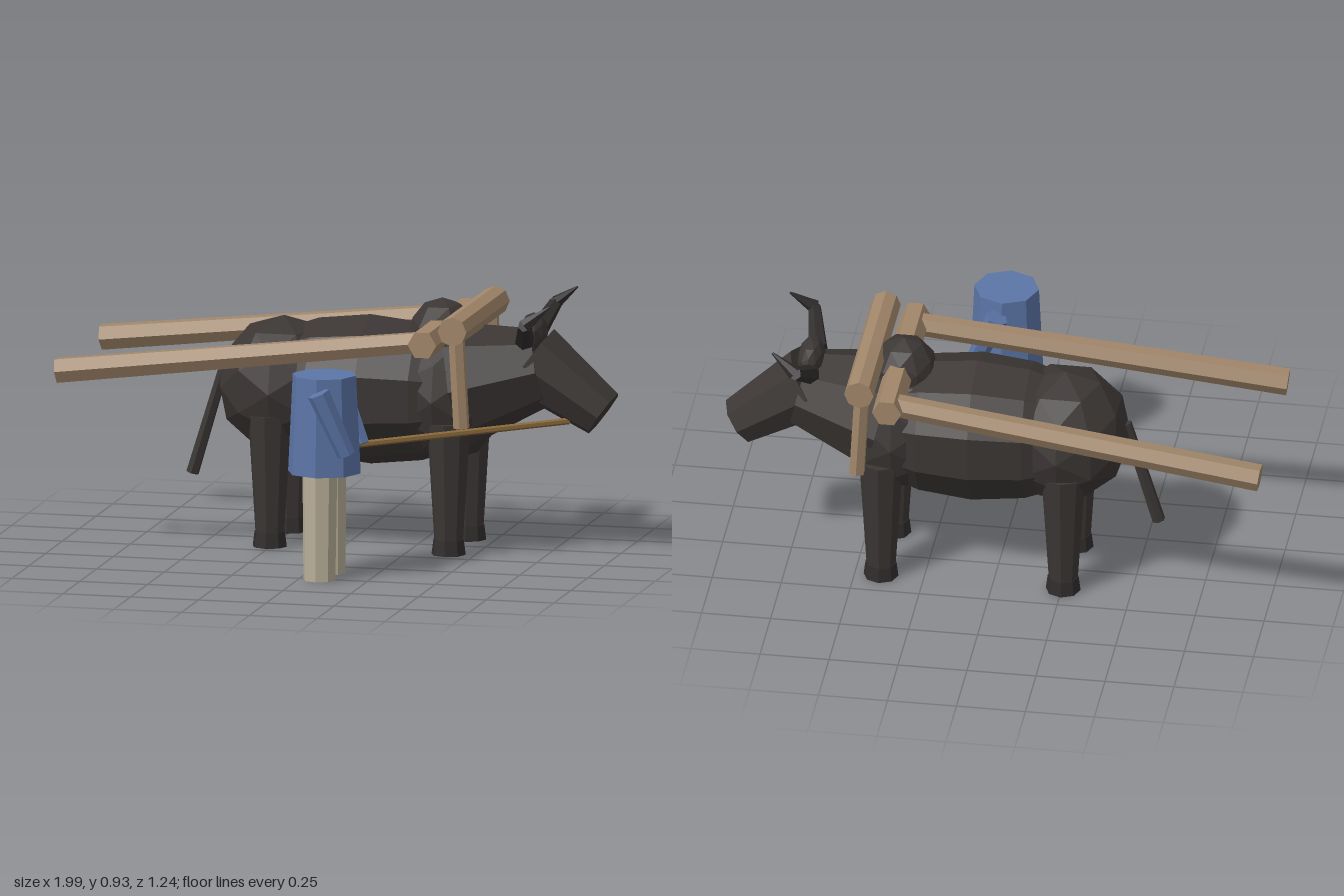
import * as THREE from 'three';

const mat = (name, color) => {
  const m = new THREE.MeshStandardMaterial({ color, flatShading: true });
  m.name = name;
  return m;
};

export function createModel() {
  const hide = mat('dark hide', 0x3b3634);
  const horn = mat('horn and hoof', 0x302c2c);
  const wood = mat('wood', 0xa1866a);
  const rope = mat('rope', 0x8a6a3c);
  const shirt = mat('blue shirt', 0x5b75a6);
  const cloth = mat('beige trousers', 0xb8ae98);

  const model = new THREE.Group();
  const UP = new THREE.Vector3(0, 1, 0);
  const MID = -0.235; // z of the animal's centre line

  const group = (name) => {
    const g = new THREE.Group();
    g.name = name;
    model.add(g);
    return g;
  };

  // Tapered rod from point a (radius ra) to point b (radius rb)
  const rod = (parent, name, m, a, b, ra, rb, sides = 6, spin = 0) => {
    const start = new THREE.Vector3(...a), end = new THREE.Vector3(...b);
    const dir = end.clone().sub(start);
    const geo = new THREE.CylinderGeometry(rb, ra, dir.length(), sides, 1, false, spin);
    const mesh = new THREE.Mesh(geo, m);
    mesh.position.copy(start).add(end).multiplyScalar(0.5);
    mesh.quaternion.setFromUnitVectors(UP, dir.normalize());
    mesh.name = name;
    parent.add(mesh);
    return mesh;
  };

  const blob = (parent, name, geo, pos, scale) => {
    const mesh = new THREE.Mesh(geo, hide);
    mesh.position.set(...pos);
    mesh.scale.set(...scale);
    mesh.name = name;
    parent.add(mesh);
  };

  // Ox body
  const ox = group('ox');
  const barrel = new THREE.SphereGeometry(1, 10, 8).rotateZ(Math.PI / 2);
  const lump = new THREE.IcosahedronGeometry(1, 1);
  blob(ox, 'barrel', barrel, [0.08, 0.56, MID], [0.5, 0.272, 0.255]);
  blob(ox, 'rump', lump, [-0.24, 0.565, MID], [0.24, 0.25, 0.245]);
  blob(ox, 'chest', lump, [0.36, 0.56, MID], [0.22, 0.25, 0.235]);
  blob(ox, 'hump', lump, [0.345, 0.765, MID], [0.125, 0.14, 0.125]);
  rod(ox, 'neck', hide, [0.42, 0.6, MID], [0.72, 0.67, MID], 0.225, 0.14, 8);
  rod(ox, 'head', hide, [0.676, 0.694, MID], [0.938, 0.508, MID], 0.14, 0.092, 8);
  blob(ox, 'poll', lump, [0.68, 0.79, MID], [0.05, 0.075, 0.095]);
  rod(ox, 'tail', hide, [-0.46, 0.62, MID], [-0.578, 0.226, MID], 0.02, 0.024, 6);

  // Legs, hooves and horns on both sides
  for (const s of [-1, 1]) {
    for (const [x, end] of [[0.405, 'front'], [-0.255, 'rear']]) {
      const z = MID + s * 0.153;
      rod(ox, end + 'Leg', hide, [x, 0.05, z], [x, 0.48, z], 0.053, 0.08, 8);
      rod(ox, end + 'Hoof', horn, [x, 0, z], [x, 0.055, z], 0.063, 0.056, 8);
    }
    const bend = [0.705, 0.86, MID + s * 0.235];
    rod(ox, 'hornBase', horn, [0.67, 0.775, MID + s * 0.09], bend, 0.036, 0.024, 6);
    rod(ox, 'hornTip', horn, bend, [0.79, 0.925, MID + s * 0.212], 0.026, 0.004, 6);
  }

  // Yoke, crossbar and cart shafts
  const harness = group('harness');
  rod(harness, 'crossbar', wood, [0.355, 0.793, -0.585], [0.355, 0.793, 0.115], 0.053, 0.053, 6, Math.PI / 2);
  rod(harness, 'yokeBeam', wood, [0.46, 0.842, -0.555], [0.46, 0.842, 0.09], 0.053, 0.053, 8);
  for (const s of [-1, 1]) {
    rod(harness, 'yokeStave', wood, [0.457, 0.84, MID + s * 0.253], [0.477, 0.48, MID + s * 0.253], 0.03, 0.03, 6);
    rod(harness, 'shaft', wood, [-0.995, 0.64, MID + s * 0.337], [0.36, 0.795, MID + s * 0.283], 0.049, 0.041, 6);
  }
  rod(harness, 'leadRope', rope, [0.16, 0.455, 0.29], [0.82, 0.483, -0.195], 0.012, 0.012, 6);

  // Headless driver figure
  const driver = group('driver');
  const X = 0.077, Z = 0.443;
  rod(driver, 'torso', shirt, [X, 0.38, Z], [X, 0.735, Z], 0.134, 0.117, 8);
  for (const s of [-1, 1]) {
    rod(driver, 'trouserLeg', cloth, [X, 0, Z + s * 0.075], [X, 0.385, Z + s * 0.068], 0.059, 0.064, 8);
    rod(driver, 'arm', shirt, [0.09, 0.69, Z + s * 0.14], [0.185, 0.465, Z + s * 0.108], 0.041, 0.033, 6);
  }

  return model;
}
